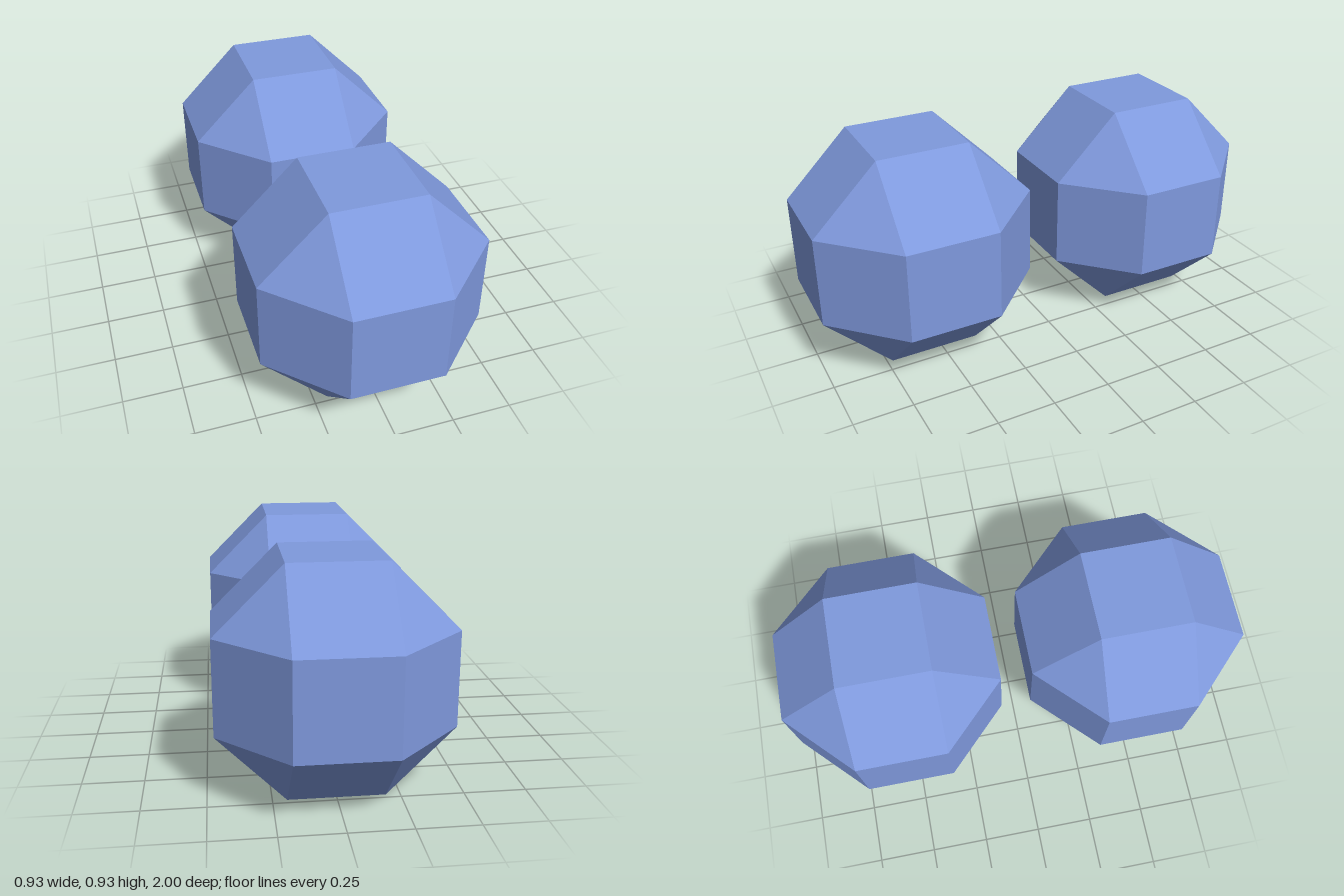
import * as THREE from 'three';
import { ConvexGeometry } from 'three/addons/geometries/ConvexGeometry.js';

const HALF_HEIGHT = 0.466;                          // centre to square face
const HALF_EDGE = HALF_HEIGHT / (1 + Math.SQRT2);   // half of every edge
const OFFSET = 1 - HALF_HEIGHT;                     // centre of each solid along z

// Rhombicuboctahedron: corners are all sign changes of (h, e, e), (e, h, e), (e, e, h)
function rhombicuboctahedron(h, e) {
  const points = [];
  for (const sx of [-1, 1]) for (const sy of [-1, 1]) for (const sz of [-1, 1]) {
    for (const [x, y, z] of [[h, e, e], [e, h, e], [e, e, h]]) {
      points.push(new THREE.Vector3(sx * x, sy * y, sz * z));
    }
  }
  return new ConvexGeometry(points);
}

export function createModel() {
  const group = new THREE.Group();
  group.name = 'facetedSolids';
  const material = new THREE.MeshStandardMaterial({ color: 0x7f99dd, flatShading: true });
  const geometry = rhombicuboctahedron(HALF_HEIGHT, HALF_EDGE);

  // Two equal solids, one behind the other
  for (const [name, side] of [['frontSolid', 1], ['backSolid', -1]]) {
    const solid = new THREE.Mesh(geometry, material);
    solid.name = name;
    solid.position.set(0, HALF_HEIGHT, side * OFFSET);
    group.add(solid);
  }
  return group;
}
